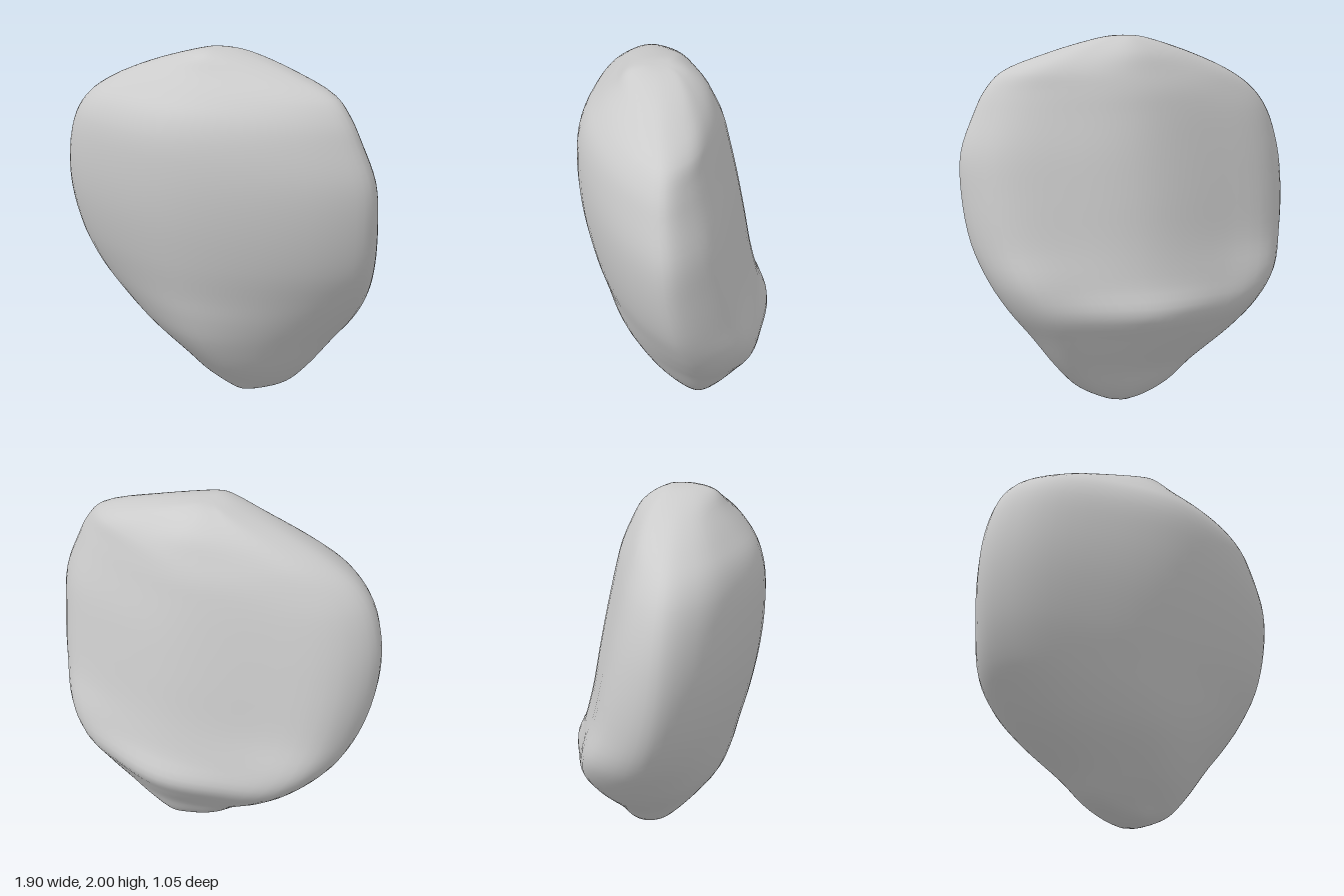
import * as THREE from 'three';

// Level sections: y, right edge, left edge, tip z, front z, back z, back rim z
const LEVELS = [
  [0, 0.1, 0.1, -0.1, -0.1, -0.1, -0.1],
  [0.03, 0.0, 0.22, -0.1, 0.0, -0.2, -0.16],
  [0.1, -0.17, 0.36, -0.1, 0.07, -0.26, -0.18],
  [0.22, -0.31, 0.48, -0.11, 0.18, -0.32, -0.22],
  [0.4, -0.55, 0.62, -0.11, 0.3, -0.44, -0.29],
  [0.55, -0.71, 0.74, -0.09, 0.36, -0.52, -0.33],
  [0.7, -0.83, 0.83, -0.04, 0.4, -0.465, -0.31],
  [0.9, -0.91, 0.905, 0.03, 0.455, -0.415, -0.22],
  [1.15, -0.95, 0.94, 0.08, 0.505, -0.37, -0.15],
  [1.38, -0.94, 0.935, 0.1, 0.525, -0.325, -0.1],
  [1.58, -0.88, 0.86, 0.11, 0.515, -0.28, -0.06],
  [1.7, -0.79, 0.8, 0.11, 0.475, -0.25, -0.04],
  [1.8, -0.64, 0.71, 0.1, 0.4, -0.21, -0.04],
  [1.9, -0.4, 0.46, 0.09, 0.31, -0.155, -0.03],
  [1.97, -0.17, 0.22, 0.08, 0.25, -0.07, -0.01],
  [1.995, -0.06, 0.1, 0.08, 0.18, 0.0, 0.02],
  [2, 0.02, 0.02, 0.08, 0.08, 0.08, 0.08],
];

// Twelve control points around one section, from +x through the front
function section([y, x0, x1, tip, front, back, rim]) {
  const cx = (x0 + x1) / 2, hw = (x1 - x0) / 2;
  const mix = THREE.MathUtils.lerp;
  return [
    [1, tip],
    [0.86, mix(tip, front, 0.36)],
    [0.48, mix(tip, front, 0.78)],
    [0, front],
    [-0.48, mix(tip, front, 0.82)],
    [-0.86, mix(tip, front, 0.46)],
    [-1, tip],
    [-0.85, rim],
    [-0.45, mix(rim, back, 0.62)],
    [0.05, back],
    [0.5, mix(rim, back, 0.62)],
    [0.86, rim],
  ].map(([f, z]) => new THREE.Vector3(cx + f * hw, y, z));
}

// Smooth skin drawn through all the sections
function stoneGeometry() {
  const sections = LEVELS.map(section);
  const around = 60, up = (LEVELS.length - 1) * 4;
  const columns = sections[0].map((_, k) =>
    new THREE.CatmullRomCurve3(sections.map((s) => s[k])));
  const positions = [], index = [];
  for (let i = 0; i <= up; i++) {
    const ring = columns.map((c) => c.getPoint(i / up));
    if (i === 0 || i === up) {
      positions.push(...ring[0].toArray()); // pole
      continue;
    }
    const loop = new THREE.CatmullRomCurve3(ring, true);
    for (let j = 0; j < around; j++) positions.push(...loop.getPoint(j / around).toArray());
  }
  const last = positions.length / 3 - 1;
  const id = (i, j) => (i === 0 ? 0 : i === up ? last : 1 + (i - 1) * around + (j % around));
  for (let i = 0; i < up; i++) {
    for (let j = 0; j < around; j++) {
      const a = id(i, j), b = id(i, j + 1), c = id(i + 1, j), d = id(i + 1, j + 1);
      if (i > 0) index.push(a, c, b);
      if (i < up - 1) index.push(b, c, d);
      else if (i === 0) index.push(a, c, d);
    }
  }
  const geometry = new THREE.BufferGeometry();
  geometry.setAttribute('position', new THREE.Float32BufferAttribute(positions, 3));
  geometry.setIndex(index);
  geometry.computeVertexNormals();
  return geometry;
}

export function createModel() {
  const group = new THREE.Group();
  group.name = 'rock';
  const stone = new THREE.Mesh(stoneGeometry(), new THREE.MeshStandardMaterial({ color: 0xcccccc }));
  stone.name = 'stone';
  group.add(stone);
  return group;
}
